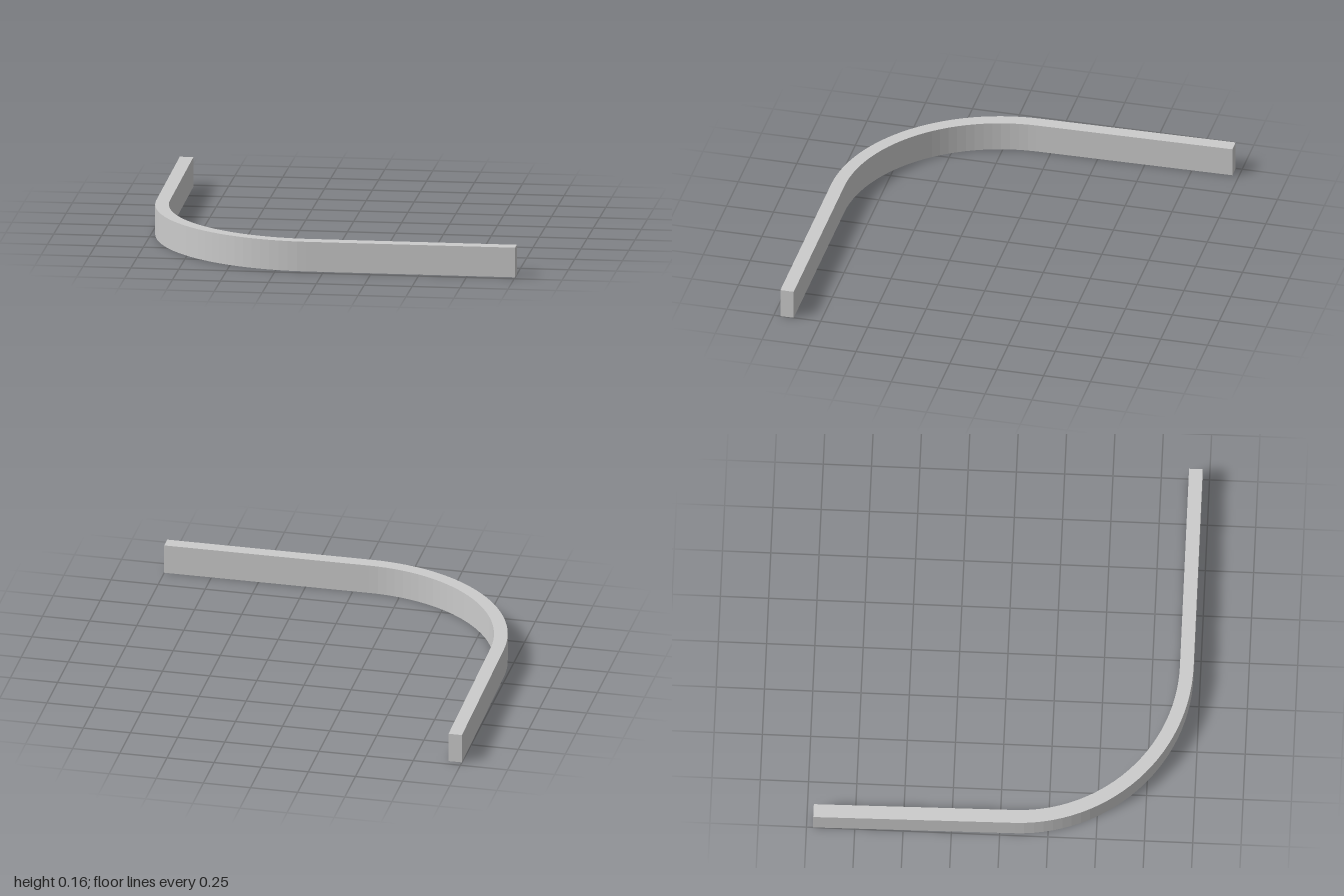
import * as THREE from 'three';

const HEIGHT = 0.157;
const RADIUS = 0.9;       // outer bend radius
const THICK = 0.071;
const CX = -0.087, CY = -0.065; // bend centre in plan (plan y = -z)
const END = 0.965;
const LEAN = 0.0126;      // side arm leans very slightly outward
const STEPS = 28;

// Plan points of one bend edge, from the front arm round to the side arm
function bendPoints(radius) {
  const points = [];
  for (let i = 0; i <= STEPS; i++) {
    const a = -Math.PI / 2 - (i / STEPS) * (Math.PI / 2 - LEAN);
    points.push(new THREE.Vector2(CX + radius * Math.cos(a), CY + radius * Math.sin(a)));
  }
  return points;
}

// One edge of the rail: front arm tip, bend, side arm tip
function edge(radius) {
  const bend = bendPoints(radius);
  const last = bend[bend.length - 1];
  return [
    new THREE.Vector2(1, CY - radius),
    ...bend,
    new THREE.Vector2(last.x - LEAN * (END - last.y), END),
  ];
}

export function createModel() {
  const group = new THREE.Group();
  group.name = 'curvedRail';

  // Outer edge one way, inner edge back, extruded upward
  const outline = [...edge(RADIUS), ...edge(RADIUS - THICK).reverse()];
  const geometry = new THREE.ExtrudeGeometry(new THREE.Shape(outline), {
    depth: HEIGHT,
    bevelEnabled: false,
  });
  geometry.rotateX(-Math.PI / 2);

  const rail = new THREE.Mesh(
    geometry,
    new THREE.MeshStandardMaterial({ color: 0xcccccc, flatShading: true })
  );
  rail.name = 'bentRail';
  group.add(rail);
  return group;
}
